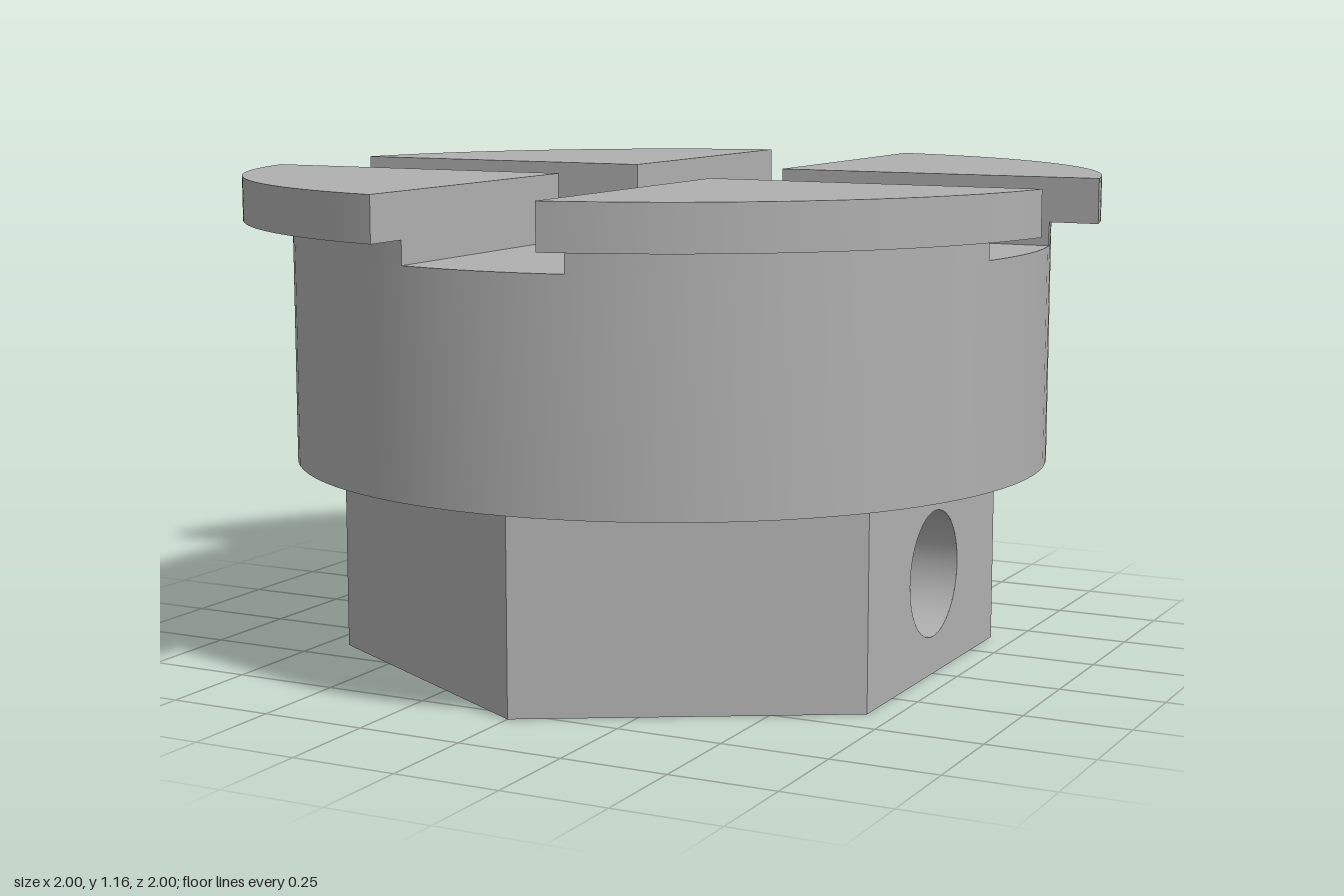
import * as THREE from 'three';
import { toCreasedNormals } from 'three/addons/utils/BufferGeometryUtils.js';

const HEX_R = 0.795, HEX_H = 0.48, FLAT = HEX_R * Math.cos(Math.PI / 6);
const BODY_R = 0.905, FLANGE_R = 1.02, BORE_R = 0.18, SLOT = 0.2;
const DECK = 1.0, NECK_TOP = 1.055, TOP = 1.16, SEG = 48;

const steel = new THREE.MeshStandardMaterial({ color: 0xb0b0b0, side: THREE.DoubleSide });
steel.name = 'grey steel';

function add(parent, name, geometry) {
  const mesh = new THREE.Mesh(toCreasedNormals(geometry, 0.5), steel);
  mesh.name = name;
  parent.add(mesh);
  return mesh;
}

function circleHole(x, y, r) {
  return new THREE.Path().absarc(x, y, r, 0, Math.PI * 2, true);
}

// Upright extrusion of a plan shape between two heights
function slab(shape, y0, y1) {
  return new THREE.ExtrudeGeometry(shape, { depth: y1 - y0, bevelEnabled: false, curveSegments: SEG })
    .rotateX(-Math.PI / 2).translate(0, y0, 0);
}

// Blind hole with its mouth at y = 0 and its floor below
function pocket(r, depth) {
  return new THREE.LatheGeometry([
    new THREE.Vector2(r, 0), new THREE.Vector2(r, -depth), new THREE.Vector2(0, -depth),
  ], SEG);
}

// Quarter plate bounded by the cross slots and an outer arc
function quarterShape(r) {
  const a = Math.asin(SLOT / r);
  const s = new THREE.Shape();
  s.moveTo(SLOT, SLOT);
  s.lineTo(r * Math.cos(a), SLOT);
  s.absarc(0, 0, r, a, Math.PI / 2 - a, false);
  s.closePath();
  return s;
}

export function createModel() {
  const model = new THREE.Group();
  model.name = 'slottedChuck';

  // Hexagonal base: underside, walls and drilled holes
  const base = new THREE.Group();
  base.name = 'hexBase';
  model.add(base);

  const under = new THREE.Shape();
  for (let i = 0; i < 6; i++) {
    const a = Math.PI / 2 + i * Math.PI / 3;
    under[i ? 'lineTo' : 'moveTo'](HEX_R * Math.cos(a), HEX_R * Math.sin(a));
  }
  under.closePath();
  under.holes.push(circleHole(0, 0, BORE_R), circleHole(0, 0.47, 0.14), circleHole(0, -0.47, 0.14));
  add(base, 'hexUnderside', new THREE.ShapeGeometry(under, SEG).rotateX(Math.PI / 2));

  for (let i = 0; i < 6; i++) {
    const turn = Math.PI / 2 + i * Math.PI / 3, w = HEX_R / 2;
    const wall = new THREE.Shape([
      new THREE.Vector2(-w, 0), new THREE.Vector2(w, 0),
      new THREE.Vector2(w, HEX_H), new THREE.Vector2(-w, HEX_H),
    ]);
    if (i % 3 === 0) {
      wall.holes.push(circleHole(0, 0.24, 0.15));
      add(base, 'sideHole', pocket(0.15, 0.4)
        .rotateX(Math.PI / 2).translate(0, 0.24, FLAT).rotateY(turn));
    }
    add(base, 'hexWall', new THREE.ShapeGeometry(wall, SEG).translate(0, 0, FLAT).rotateY(turn));
  }

  for (const z of [-0.47, 0.47]) {
    add(base, 'bottomHole', pocket(0.14, 0.4).rotateX(Math.PI).translate(0, 0, z));
  }
  add(base, 'boreWall', new THREE.CylinderGeometry(BORE_R, BORE_R, HEX_H, SEG, 1, true)
    .translate(0, HEX_H / 2, 0));

  // Round body with the central bore
  const disc = new THREE.Shape().absarc(0, 0, BODY_R, 0, Math.PI * 2, false);
  disc.holes.push(circleHole(0, 0, BORE_R));
  add(model, 'roundBody', slab(disc, HEX_H, DECK));

  // Four overhanging jaws separated by the cross slots
  for (let i = 0; i < 4; i++) {
    const jaw = new THREE.Group();
    jaw.name = 'jaw';
    jaw.rotation.y = i * Math.PI / 2;
    add(jaw, 'jawNeck', slab(quarterShape(BODY_R), DECK, NECK_TOP));
    add(jaw, 'jawFlange', slab(quarterShape(FLANGE_R), NECK_TOP, TOP));
    model.add(jaw);
  }
  return model;
}
